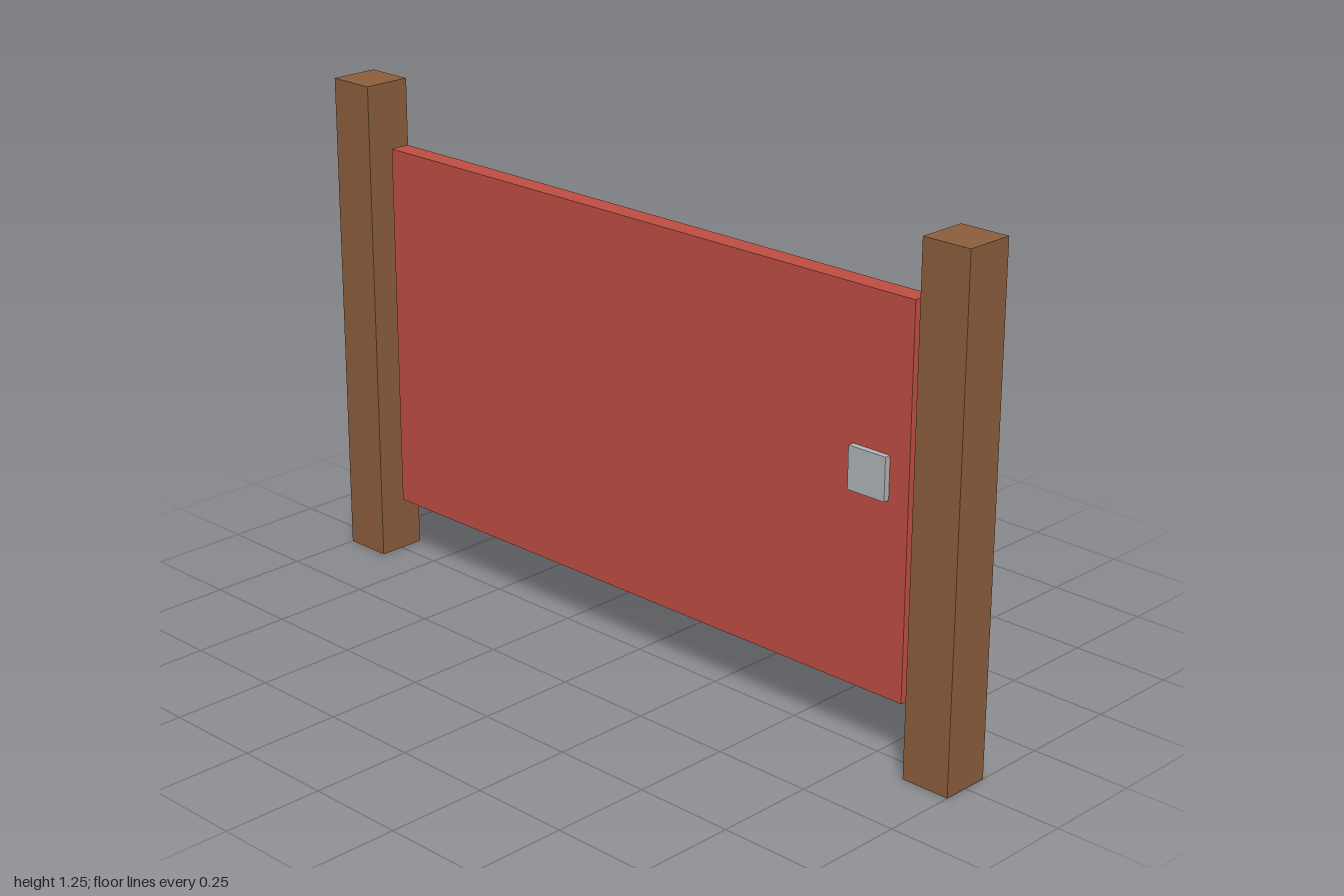
import * as THREE from 'three';

export function createModel() {
  const model = new THREE.Group();
  const wood = new THREE.MeshStandardMaterial({ color: 0x8b5e3c });
  const red = new THREE.MeshStandardMaterial({ color: 0xbe4e42 });
  const metal = new THREE.MeshStandardMaterial({ color: 0xb0b4b8 });

  function box(name, material, size, position) {
    const mesh = new THREE.Mesh(new THREE.BoxGeometry(...size), material);
    mesh.name = name;
    mesh.position.set(...position);
    model.add(mesh);
  }

  // Square posts either side of the gate
  for (const side of [-1, 1]) {
    box(side > 0 ? 'leftPost' : 'rightPost', wood, [0.125, 1.25, 0.125], [side * 0.9375, 0.625, 0]);
  }

  // Gate panel hanging between the posts
  box('gatePanel', red, [1.667, 0.9375, 0.052], [0, 0.625, 0]);

  // Latch block, showing on both faces of the panel
  box('latch', metal, [0.104, 0.104, 0.083], [0.727, 0.678, 0]);

  return model;
}
